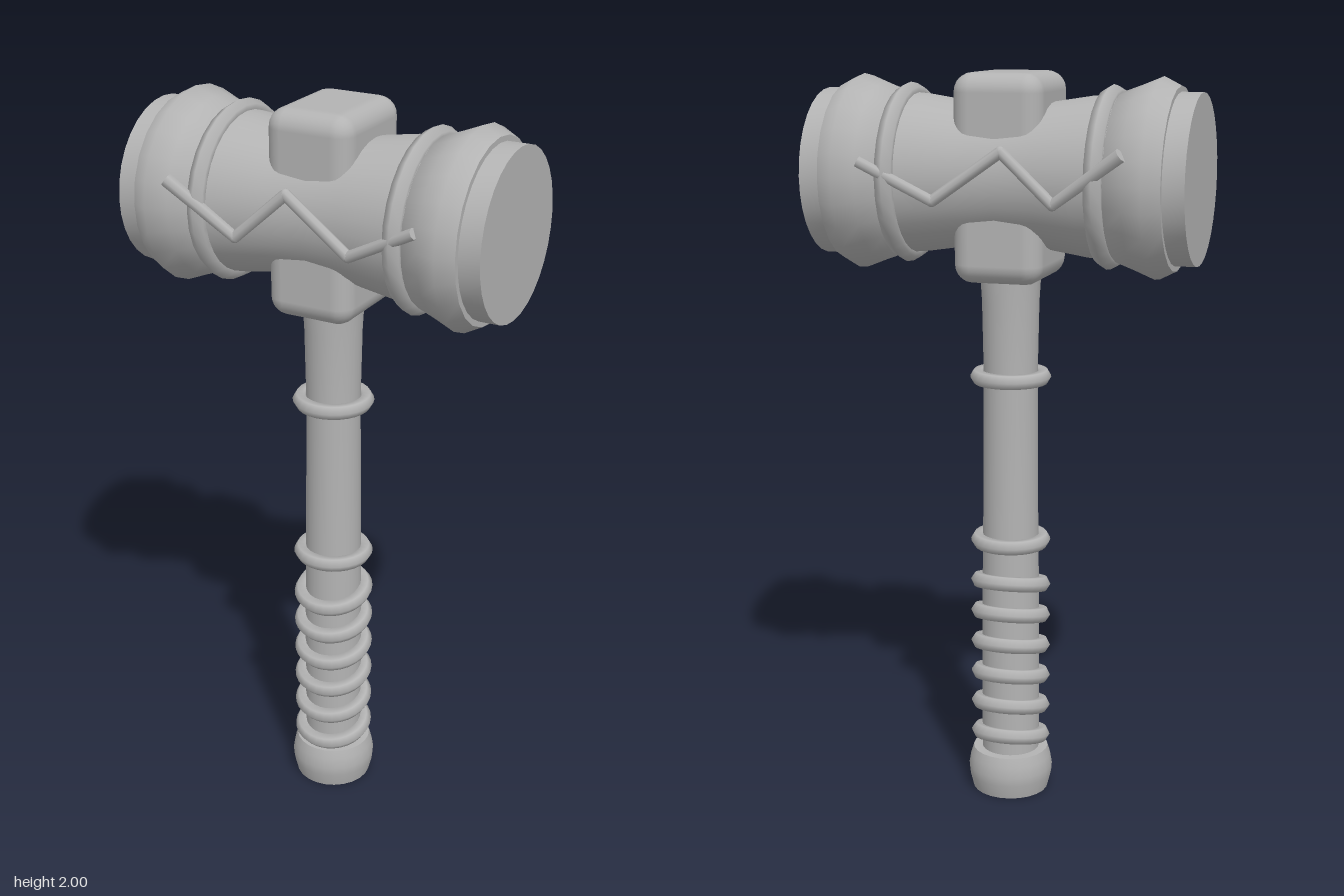
import * as THREE from 'three';
import { toCreasedNormals } from 'three/addons/utils/BufferGeometryUtils.js';
import { RoundedBoxGeometry } from 'three/addons/geometries/RoundedBoxGeometry.js';

const HEAD_Y = 1.733;

export function createModel() {
  const model = new THREE.Group();
  const grey = new THREE.MeshStandardMaterial({ color: 0xb3b3b3 });
  grey.name = 'grey';

  function add(parent, name, geometry) {
    const mesh = new THREE.Mesh(geometry, grey);
    mesh.name = name;
    parent.add(mesh);
    return mesh;
  }

  // Turned part from [radius, height] pairs, listed bottom to top
  function turned(profile, sides = 24) {
    const points = profile.map(([r, h]) => new THREE.Vector2(r, h));
    return toCreasedNormals(new THREE.LatheGeometry(points, sides), 1.0);
  }

  // Ring with a six-sided section around the y axis
  function ring(parent, name, radius, thickness, y) {
    const geometry = new THREE.TorusGeometry(radius, thickness, 6, 28);
    geometry.rotateX(Math.PI / 2);
    const mesh = add(parent, name, geometry);
    mesh.position.y = y;
    return mesh;
  }

  // Hammer head, turned about y and laid along x
  const head = new THREE.Group();
  head.name = 'head';
  head.position.y = HEAD_Y;
  head.rotation.z = -Math.PI / 2;
  model.add(head);

  add(head, 'headBody', turned([
    [0.215, -0.31], [0.207, -0.22], [0.19, -0.11], [0.182, 0],
    [0.19, 0.11], [0.207, 0.22], [0.215, 0.31],
  ], 32));

  for (const side of [-1, 1]) {
    const end = new THREE.Group();
    end.name = side > 0 ? 'leftEnd' : 'rightEnd';
    if (side < 0) end.rotation.z = Math.PI;
    head.add(end);
    add(end, 'flaredRim', turned([
      [0.2, 0.29], [0.218, 0.3], [0.236, 0.35], [0.258, 0.405], [0.235, 0.45], [0.19, 0.45],
    ]));
    add(end, 'strikingFace', turned([[0.22, 0.44], [0.22, 0.507], [0, 0.507]], 32));
    ring(end, 'headRing', 0.211, 0.026, 0.275);
  }

  // Block running through the head, showing above and below
  const block = add(model, 'socketBlock', new RoundedBoxGeometry(0.24, 0.54, 0.3, 3, 0.05));
  block.position.y = 1.73;

  // Zigzag bars on the front and back of the head
  const up = new THREE.Vector3(0, 1, 0);
  for (const side of [1, -1]) {
    const zigzag = new THREE.Group();
    zigzag.name = side > 0 ? 'frontZigzag' : 'backZigzag';
    model.add(zigzag);
    const points = [
      [-0.35, 1.81, 0.233], [-0.17, 1.68, 0.205], [-0.03, 1.807, 0.19],
      [0.15, 1.68, 0.201], [0.34, 1.778, 0.23],
    ].map(([x, y, z]) => new THREE.Vector3(x, y, z * side));
    for (let i = 0; i < points.length - 1; i++) {
      const step = points[i + 1].clone().sub(points[i]);
      const startRadius = i === 0 ? 0.019 : 0.015;
      const bar = add(zigzag, 'zigzagBar', new THREE.CylinderGeometry(0.015, startRadius, step.length(), 8));
      bar.position.copy(points[i]).addScaledVector(step, 0.5);
      bar.quaternion.setFromUnitVectors(up, step.normalize());
      if (i > 0) add(zigzag, 'zigzagJoint', new THREE.SphereGeometry(0.015, 8, 6)).position.copy(points[i]);
    }
  }

  // Handle shaft, slightly slimmer in the middle
  add(model, 'handle', turned([
    [0.08, 0.08], [0.08, 0.5], [0.076, 0.8], [0.073, 1.2], [0.077, 1.4], [0.082, 1.48],
  ]));
  for (const y of [0.735, 1.195]) ring(model, 'handleRing', 0.089, 0.021, y);

  // Grip wrapping: rings tipped down towards the front
  for (let i = 0; i < 6; i++) {
    ring(model, 'gripRing', 0.089, 0.022, 0.16 + i * 0.09).rotation.x = 0.23;
  }

  // Pommel
  add(model, 'pommel', turned([
    [0, 0], [0.106, 0], [0.116, 0.04], [0.118, 0.065], [0.113, 0.095], [0.105, 0.12], [0, 0.12],
  ]));

  return model;
}
